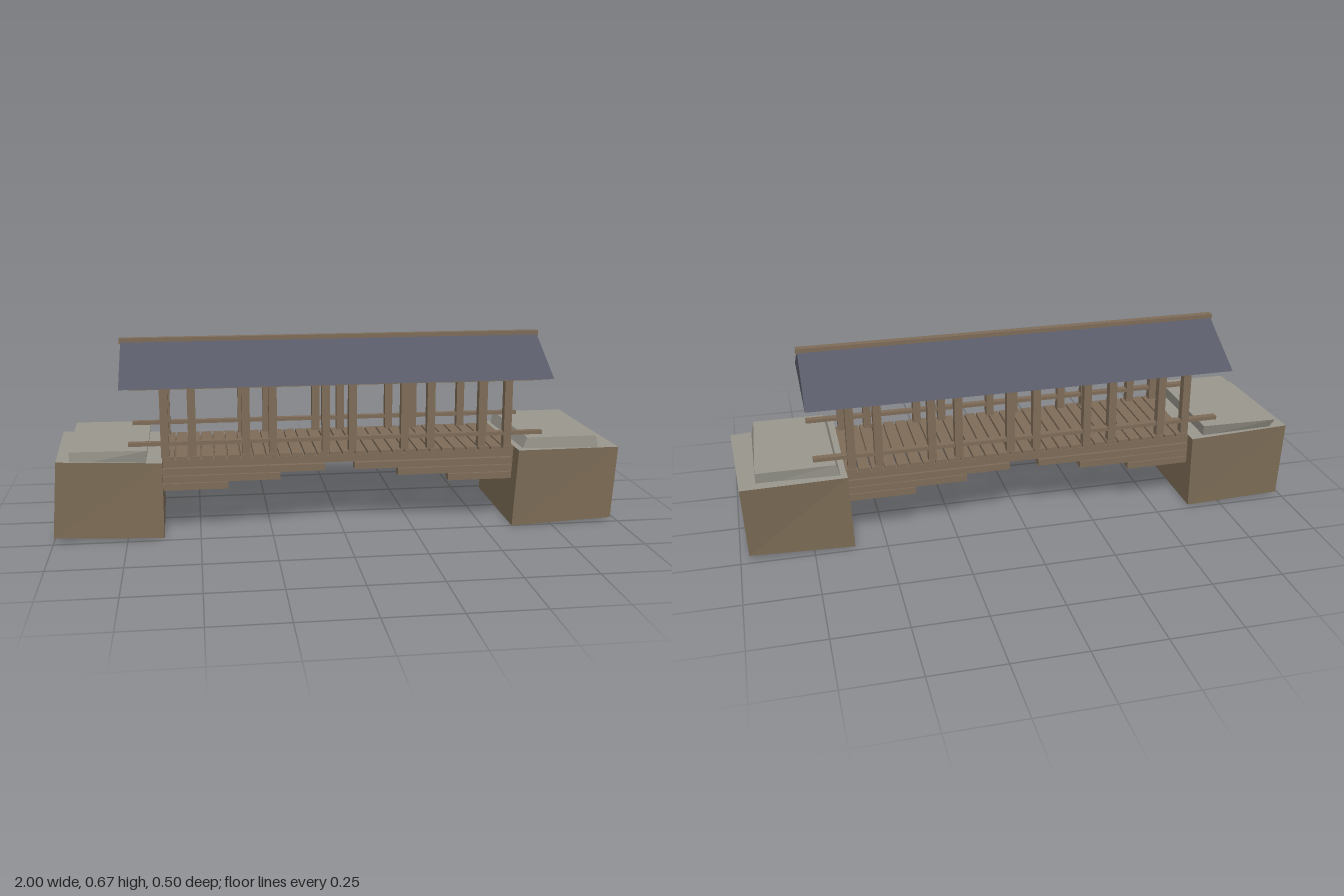
import * as THREE from 'three';

const mat = (name, color) => {
  const m = new THREE.MeshStandardMaterial({ color });
  m.name = name;
  return m;
};

export function createModel() {
  const wood = mat('timber', 0x7d6b57);
  const earth = mat('abutmentBrown', 0x7a6a54);
  const stone = mat('paleStone', 0x98968c);
  const slate = mat('slateRoof', 0x585966);
  const model = new THREE.Group();
  const cx = -0.008; // centre of the timber frame

  const add = (name, geometry, material) => {
    const mesh = new THREE.Mesh(geometry, material);
    mesh.name = name;
    model.add(mesh);
    return mesh;
  };

  // Box given by its extents along each axis
  const box = (name, x0, x1, y0, y1, z0, z1, material = wood) =>
    add(name, new THREE.BoxGeometry(x1 - x0, y1 - y0, z1 - z0), material)
      .position.set((x0 + x1) / 2, (y0 + y1) / 2, (z0 + z1) / 2);

  // Uneven block: four bottom then four top corners,
  // each ring ordered left-front, right-front, right-back, left-back in x
  const block = (name, c, sideMat, topMat) => {
    const quads = [[0, 1, 5, 4], [1, 2, 6, 5], [2, 3, 7, 6], [3, 0, 4, 7], [3, 2, 1, 0], [4, 5, 6, 7]];
    const pos = quads.flatMap(([a, b, d, e]) => [a, b, d, a, d, e].flatMap((i) => c[i]));
    const g = new THREE.BufferGeometry();
    g.setAttribute('position', new THREE.Float32BufferAttribute(pos, 3));
    g.computeVertexNormals();
    g.addGroup(0, 30, 0);
    g.addGroup(30, 6, 1);
    add(name, g, [sideMat, topMat]);
  };

  // Abutments with stone tops
  block('leftAbutment', [
    [0.605, 0, 0.25], [0.98, 0.008, 0.227], [0.97, 0.016, -0.228], [0.61, 0, -0.225],
    [0.622, 0.277, 0.25], [1, 0.27, 0.218], [0.98, 0.277, -0.25], [0.62, 0.272, -0.23],
  ], earth, stone);
  block('rightAbutment', [
    [-1, 0.015, 0.227], [-0.625, 0.003, 0.235], [-0.63, 0, -0.225], [-0.985, 0.01, -0.225],
    [-0.98, 0.283, 0.225], [-0.625, 0.268, 0.225], [-0.63, 0.27, -0.225], [-1, 0.283, -0.222],
  ], earth, stone);

  // Capping slabs
  block('leftSlab', [
    [0.64, 0.265, 0.22], [0.925, 0.265, 0.22], [0.925, 0.265, -0.203], [0.64, 0.265, -0.205],
    [0.66, 0.315, 0.218], [0.914, 0.315, 0.218], [0.925, 0.315, -0.212], [0.655, 0.315, -0.21],
  ], stone, stone);
  block('rightSlab', [
    [-0.935, 0.265, 0.218], [-0.68, 0.265, 0.218], [-0.68, 0.265, -0.202], [-0.935, 0.265, -0.202],
    [-0.935, 0.315, 0.218], [-0.673, 0.315, 0.228], [-0.673, 0.315, -0.22], [-0.95, 0.315, -0.227],
  ], stone, stone);

  // Deck planks
  const planks = 28, pitch = 1.25 / planks;
  for (let i = 0; i < planks; i++) {
    const x = -0.625 + i * pitch;
    box('deckPlank', x + 0.003, x + pitch - 0.003, 0.265, 0.277, -0.182, 0.182);
  }

  for (const s of [-1, 1]) {
    const z = s * 0.163;
    // Stepped cantilever beams under the deck
    box('deckBeam', -0.64, 0.64, 0.24, 0.265, z - 0.02, z + 0.02);
    [0.053, 0.209, 0.392].forEach((gap, i) => {
      const top = 0.235 - i * 0.027;
      box('cantileverBeam', -0.64, cx - gap, top - 0.024, top, z - 0.02, z + 0.02);
      box('cantileverBeam', cx + gap, 0.64, top - 0.024, top, z - 0.02, z + 0.02);
    });
    // Paired posts
    for (let i = -2; i <= 2; i++) {
      for (const d of [-0.047, 0.047]) {
        const x = cx + i * 0.28 + d;
        box('post', x - 0.014, x + 0.014, 0.275, 0.517, z - 0.015, z + 0.015);
      }
    }
    // Handrail and eave plate
    box('handrail', -0.74, 0.728, 0.316, 0.329, z - 0.012, z + 0.012);
    box('eavePlate', -0.73, 0.715, 0.515, 0.527, z - 0.02, z + 0.02);
  }

  // Solid gabled roof and ridge beam
  const gable = new THREE.Shape([
    new THREE.Vector2(-0.232, 0.527), new THREE.Vector2(0.232, 0.527), new THREE.Vector2(0, 0.66),
  ]);
  const roof = new THREE.ExtrudeGeometry(gable, { depth: 1.506, bevelEnabled: false });
  roof.rotateY(Math.PI / 2).translate(cx - 0.753, 0, 0);
  add('roof', roof, slate);
  box('ridgeBeam', -0.766, 0.75, 0.648, 0.667, -0.013, 0.013);

  return model;
}
